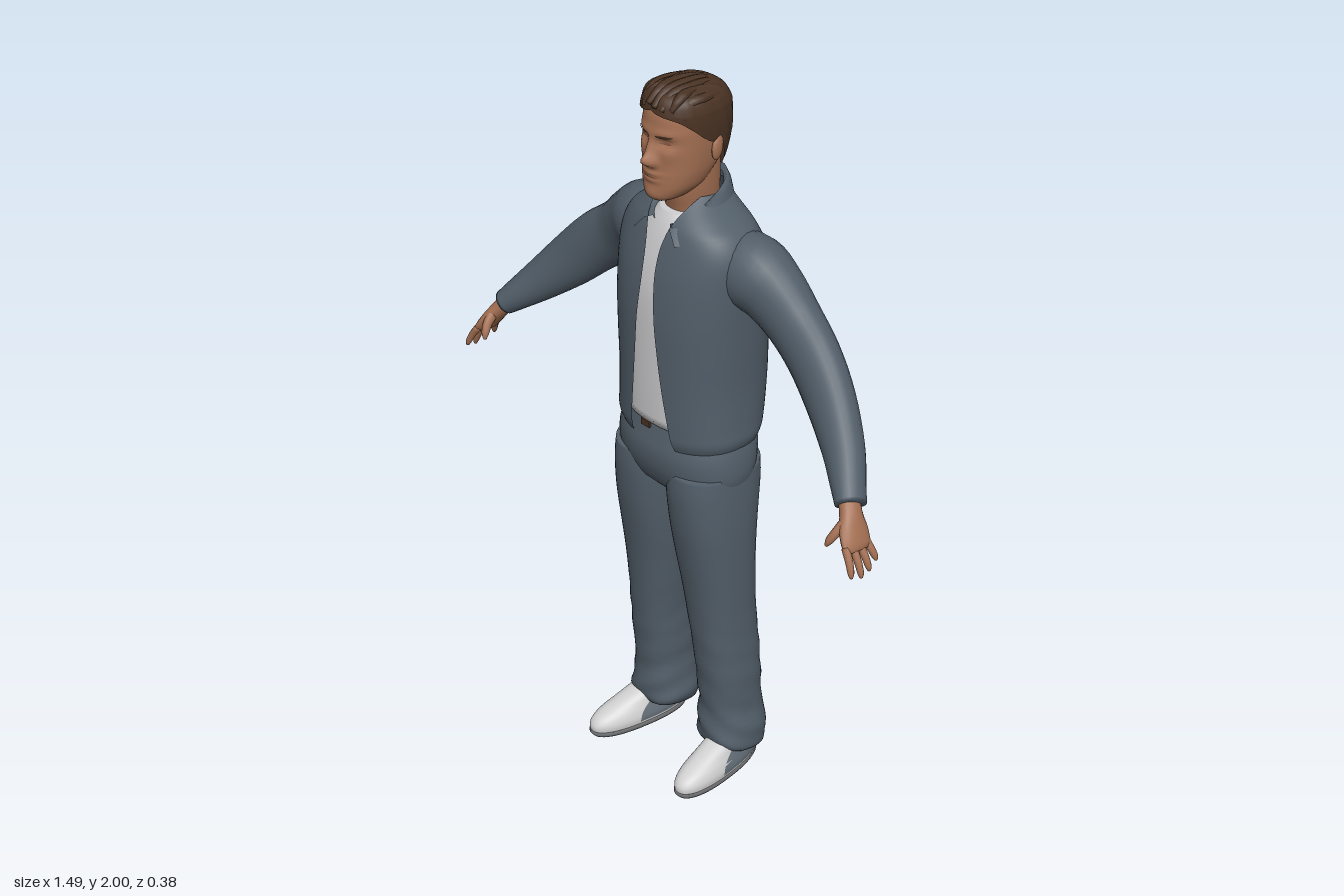
import * as THREE from 'three';

const mat = (name, color, side = THREE.FrontSide) => {
  const m = new THREE.MeshStandardMaterial({ color, side });
  m.name = name;
  return m;
};

// Skin a list of point rows; optional end caps
function grid(rows, closed, caps) {
  const n = rows[0].length, pos = [], idx = [];
  rows.forEach(r => r.forEach(p => pos.push(p.x, p.y, p.z)));
  for (let i = 0; i < rows.length - 1; i++) {
    for (let j = 0; j < (closed ? n : n - 1); j++) {
      const k = (j + 1) % n, a = i * n + j, b = i * n + k;
      idx.push(a, b, b + n, a, b + n, a + n);
    }
  }
  if (caps) {
    [0, rows.length - 1].forEach(i => {
      const c = new THREE.Vector3();
      rows[i].forEach(p => c.addScaledVector(p, 1 / n));
      const ci = pos.length / 3;
      pos.push(c.x, c.y, c.z);
      for (let j = 0; j < n; j++) {
        const a = i * n + j, b = i * n + (j + 1) % n;
        if (i) idx.push(ci, a, b); else idx.push(ci, b, a);
      }
    });
  }
  const g = new THREE.BufferGeometry();
  g.setAttribute('position', new THREE.Float32BufferAttribute(pos, 3));
  g.setIndex(idx);
  g.computeVertexNormals();
  return g;
}

// Smoothly fill in between cross-section rows of numbers
function refine(secs, steps) {
  const at = i => secs[Math.max(0, Math.min(secs.length - 1, i))], out = [];
  for (let i = 0; i < secs.length - 1; i++) {
    for (let k = 0; k < steps; k++) {
      const t = k / steps;
      out.push(secs[i].map((b, c) => {
        const a = at(i - 1)[c], d = at(i + 1)[c], e = at(i + 2)[c];
        return b + 0.5 * t * (d - a + t * (2 * a - 5 * b + 4 * d - e + t * (3 * (b - d) + e - a)));
      }));
    }
  }
  out.push(at(secs.length));
  return out;
}

// Upright form from rows [y, halfWidth, zFront, zBack, xCentre, ...extra], bottom to top
function loft(secs, { n = 40, steps = 4, pow = 2.3, gap = null, caps = true, rule = null } = {}) {
  const f = v => Math.sign(v) * Math.abs(v) ** (2 / pow);
  const rows = refine(secs, steps).map(s => {
    const [y, hw, zf, zb, cx = 0] = s;
    const [t0, t1] = gap ? gap(s, pow) : [0, Math.PI * 2];
    return Array.from({ length: n }, (_, j) => {
      const t = t0 + (t1 - t0) * j / (gap ? n - 1 : n);
      const p = new THREE.Vector3(cx + hw * f(Math.sin(t)), y, (zf + zb) / 2 + (zf - zb) / 2 * f(Math.cos(t)));
      if (rule) rule(p, t);
      return p;
    });
  });
  return grid(rows, !gap, caps && !gap);
}

// Bent limb from rows [x, y, z, thickness, width], width measured along ref
function limb(secs, n = 12, steps = 4, ref = new THREE.Vector3(0, 0, 1)) {
  const r = refine(secs, steps), v = s => new THREE.Vector3(s[0], s[1], s[2]);
  const rows = r.map((s, i) => {
    const T = v(r[Math.min(i + 1, r.length - 1)]).sub(v(r[Math.max(i - 1, 0)])).normalize();
    const U = ref.clone().addScaledVector(T, -ref.dot(T)).normalize();
    const V = T.clone().cross(U);
    return Array.from({ length: n }, (_, j) => {
      const t = j / n * Math.PI * 2;
      return v(s).addScaledVector(U, Math.cos(t) * s[4]).addScaledVector(V, Math.sin(t) * s[3]);
    });
  });
  return grid(rows, true, true);
}

function mirrored(geo) {
  const g = geo.clone().scale(-1, 1, 1), ix = g.index.array;
  for (let i = 0; i < ix.length; i += 3) [ix[i + 1], ix[i + 2]] = [ix[i + 2], ix[i + 1]];
  g.computeVertexNormals();
  return g;
}

export function createModel() {
  const root = new THREE.Group();
  root.name = 'man';
  const cloth = mat('slateCloth', 0x525e69, THREE.DoubleSide), shirtMat = mat('shirtWhite', 0xcfcfd1);
  const skin = mat('skin', 0xa36f52), lipMat = mat('darkSkin', 0x80503c), hairMat = mat('brownHair', 0x4a3324, THREE.DoubleSide);
  const shoeMat = mat('shoeWhite', 0xd2d2d2), panelMat = mat('shoePanel', 0x66707a), soleMat = mat('soleGrey', 0x77787a);
  const add = (name, geo, m) => {
    const o = new THREE.Mesh(geo, m);
    o.name = name;
    root.add(o);
    return o;
  };
  const pair = (name, geo, m) => {
    add(name + 'Left', geo, m);
    add(name + 'Right', mirrored(geo), m);
  };
  const bell = (d, s) => Math.exp(-d * d / (2 * s * s));

  // Trousers: hips and two legs with a slanted, rumpled hem
  add('hips', loft([[.86, .10, .03, -.05], [.885, .175, .1, -.1], [.94, .2, .13, -.13], [1.0, .199, .138, -.146],
    [1.05, .188, .128, -.145], [1.09, .18, .118, -.14]]), cloth);
  pair('trouserLeg', loft([[.065, .076, .04, -.128, .134], [.085, .084, .05, -.132, .134], [.125, .086, .05, -.134, .133],
    [.2, .075, .046, -.125, .13], [.3, .077, .055, -.12, .128], [.4, .077, .066, -.115, .124], [.5, .082, .076, -.108, .117],
    [.6, .089, .088, -.105, .112], [.7, .096, .104, -.107, .107], [.8, .0995, .12, -.115, .104],
    [.9, .1, .129, -.128, .1], [.96, .096, .125, -.128, .1]], {
    rule: (p, t) => {
      const low = Math.max(0, 1 - p.y / .55);
      p.x += .004 * low * Math.sin(p.y * 75 + t * 2);
      p.z += .004 * low * Math.sin(p.y * 60 + t * 3);
      if (p.y < .2) p.y += .22 * (p.z + .04) * (1 - p.y / .2);
    },
  }), cloth);
  const buckle = add('beltBuckle', new THREE.BoxGeometry(.03, .018, .008), hairMat);
  buckle.position.set(-.015, 1.073, .127);

  // Shirt under the jacket
  add('shirt', loft([[1.08, .172, .127, -.135], [1.2, .172, .13, -.16], [1.4, .175, .13, -.165], [1.5, .175, .12, -.16],
    [1.58, .15, .1, -.14], [1.63, .1, .082, -.12], [1.66, .062, .066, -.1]]), shirtMat);

  // Open jacket; last two columns are the front edges on its left and right
  add('jacket', loft([[1.02, .183, .128, -.148, 0, .092, .062], [1.055, .198, .141, -.16, 0, .085, .055], [1.1, .197, .144, -.172, 0, .077, .053],
    [1.2, .194, .146, -.185, 0, .06, .042], [1.3, .197, .147, -.185, 0, .047, .032], [1.4, .2, .146, -.183, 0, .036, .024],
    [1.5, .203, .135, -.175, 0, .027, .017], [1.57, .2, .118, -.158, 0, .026, .022], [1.62, .175, .102, -.138, 0, .035, .033],
    [1.65, .135, .088, -.125, 0, .045, .045], [1.68, .09, .065, -.113, 0, .055, .055], [1.7, .07, .04, -.105, 0, .06, .06]], {
    n: 64, gap: ([, hw, , , , l, r], p) => [Math.asin((l / hw) ** (p / 2)), Math.PI * 2 - Math.asin((r / hw) ** (p / 2))],
  }), cloth);

  // Turned-down collar, low and pointed at the front
  const collarRow = (hw, zf, zb, back, front, edge) => Array.from({ length: 41 }, (_, j) => {
    const t = edge + (Math.PI * 2 - 2 * edge) * j / 40, f = (1 + Math.cos(t)) / 2;
    return new THREE.Vector3(hw * Math.sin(t), back + (front - back) * f ** 1.4, (zf + zb) / 2 + (zf - zb) / 2 * Math.cos(t));
  });
  add('collar', grid([collarRow(.108, .145, -.124, 1.672, 1.585, .75), collarRow(.09, .118, -.118, 1.712, 1.625, .55),
    collarRow(.078, .094, -.108, 1.735, 1.635, .42), collarRow(.07, .078, -.098, 1.72, 1.61, .4)], false), cloth);

  // Sleeves
  pair('sleeve', limb([[.1, 1.535, -.035, .085, .08], [.19, 1.525, -.045, .1, .09], [.25, 1.492, -.055, .091, .078], [.32, 1.435, -.06, .082, .066],
    [.4, 1.375, -.05, .08, .06], [.48, 1.298, -.03, .073, .056], [.56, 1.22, .005, .058, .051], [.62, 1.162, .045, .043, .044],
    [.653, 1.13, .068, .034, .04]], 24), cloth);

  // Hands: palm, four fingers and thumb
  pair('palm', limb([[.63, 1.15, .055, .024, .028], [.66, 1.115, .074, .023, .03], [.682, 1.083, .086, .02, .041],
    [.702, 1.053, .095, .016, .043], [.71, 1.04, .097, .009, .036]], 16), skin);
  for (let i = 0; i < 4; i++) {
    const o = (i - 1.5) * .021, len = [.8, 1, 1.08, .95][i], z = .096 + o;
    pair('finger' + (i + 1), limb([[.699, 1.056, z, .01, .011], [.699 + .021 * len, 1.056 - .031 * len, z + o * .2, .0095, .0095],
      [.699 + .033 * len, 1.056 - .056 * len, z + o * .35, .008, .008], [.699 + .036 * len, 1.056 - .068 * len, z + o * .4, .004, .004]], 10, 3), skin);
  }
  pair('thumb', limb([[.668, 1.105, .095, .014, .016], [.663, 1.082, .122, .012, .013], [.655, 1.06, .138, .01, .01],
    [.65, 1.045, .144, .004, .004]], 10), skin);

  // Neck and head, the face shaped by soft bumps
  add('neck', loft([[1.6, .06, .045, -.085], [1.66, .057, .052, -.085], [1.72, .062, .066, -.085], [1.8, .064, .07, -.085]]), skin);
  const bumps = [[0, 1.815, .012, .012, .026], [0, 1.842, .009, .02, .015], [.015, 1.808, .007, .007, .008], [.036, 1.862, .015, .009, -.011],
    [.03, 1.884, .024, .007, .005], [0, 1.78, .02, .005, .007], [0, 1.763, .018, .005, .006], [0, 1.727, .018, .012, .005], [.05, 1.835, .015, .014, .004]];
  const headGeo = loft([[1.703, .026, .105, .03], [1.715, .046, .118, .0], [1.74, .066, .12, -.035], [1.77, .077, .119, -.06], [1.8, .083, .117, -.08],
    [1.85, .088, .114, -.093], [1.9, .089, .112, -.097], [1.94, .082, .1, -.092], [1.975, .045, .06, -.06]], {
    n: 128, steps: 7, pow: 2.25, rule: p => {
      if (p.z < .04) return;
      for (const [x, y, sx, sy, h] of bumps) p.z += h * bell(Math.abs(p.x) - x, sx) * bell(p.y - y, sy);
    },
  });
  add('head', headGeo, skin);
  const faceZ = (x, y) => {
    const a = headGeo.attributes.position;
    let best = 1, z = .1;
    for (let i = 0; i < a.count; i++) {
      const d = Math.hypot(a.getX(i) - x, a.getY(i) - y);
      if (a.getZ(i) > .03 && d < best) { best = d; z = a.getZ(i); }
    }
    return z;
  };
  // Thin strips lying on the face
  const strip = (x0, x1, y0, y1, h) => grid([-h, h].map(o => Array.from({ length: 9 }, (_, j) => {
    const t = j / 8, x = x0 + (x1 - x0) * t, y = y0 + (y1 - y0) * t + o * Math.sin(Math.PI * (.1 + .8 * t));
    return new THREE.Vector3(x, y, faceZ(x, y) + .002);
  })), false);
  pair('eyebrow', strip(.016, .058, 1.88, 1.882, .0035), hairMat);
  pair('eye', strip(.022, .05, 1.861, 1.861, .003), lipMat);
  add('mouth', strip(-.024, .024, 1.771, 1.771, .002), lipMat);
  pair('ear', new THREE.SphereGeometry(1, 14, 10).scale(.01, .032, .02).rotateX(-.2).rotateY(.25).translate(.09, 1.835, -.015), skin);

  // Hair: a shell with a hairline, plus rough locks on top
  add('hair', loft([[1.755, .06, .05, -.086, 0, 2.4], [1.79, .078, .09, -.098, 0, 2.1], [1.83, .088, .1, -.106, 0, 1.85],
    [1.865, .093, .113, -.111, 0, 1.45], [1.9, .095, .117, -.112, 0, 1.1], [1.925, .094, .118, -.11, 0, .72], [1.94, .092, .116, -.107, 0, .02],
    [1.965, .081, .108, -.092, 0, .01], [1.982, .055, .085, -.06, 0, .005], [1.988, .008, .02, -.01, 0, .003]], {
    n: 64, gap: s => [s[5], Math.PI * 2 - s[5]],
    rule: (p, t) => { if (p.y > 1.85) p.x *= 1 + .02 * Math.sin(t * 17 + p.y * 40); },
  }), hairMat);
  const side = new THREE.Vector3(1, 0, 0);
  for (let i = 0; i < 8; i++) {
    const x = (i - 3.5) * .019, drop = x * x * 4.5, w = .006 * Math.sin(i * 2.4);
    add('hairLock' + (i + 1), limb([[x * 1.1, 1.935 - drop, -.095 + drop * 2, .006, .007], [x + w, 1.974 - drop, -.05, .012, .013],
      [x - w, 1.986 - drop, .02, .012, .014], [x + w, 1.98 - drop + w, .08 - drop, .013, .013],
      [x * 1.05, 1.952 + w - drop, .117 - drop * 2, .006, .008]], 8, 4, side), hairMat);
  }

  // Shoes: pale toe, darker rear panel, grey sole
  const place = g => g.rotateY(.13).translate(.154, 0, 0);
  const upper = loft([[.016, .052, .195, -.112], [.035, .054, .194, -.115], [.055, .05, .175, -.113], [.075, .044, .13, -.11],
    [.095, .04, .075, -.105], [.11, .034, .03, -.1]], { n: 48 });
  const toe = [], rear = [], ix = upper.index.array, sp = upper.attributes.position;
  for (let i = 0; i < ix.length; i += 3) {
    const f = [ix[i], ix[i + 1], ix[i + 2]];
    const z = f.reduce((a, k) => a + sp.getZ(k) / 3, 0), y = f.reduce((a, k) => a + sp.getY(k) / 3, 0);
    (z > .075 - (y - .02) * .8 || y < .024 ? toe : rear).push(...f);
  }
  upper.setIndex([...toe, ...rear]);
  upper.addGroup(0, toe.length, 0);
  upper.addGroup(toe.length, rear.length, 1);
  pair('shoe', place(upper), [shoeMat, panelMat]);
  pair('shoeSole', place(loft([[0, .05, .19, -.112], [.009, .054, .197, -.116], [.018, .053, .196, -.114]], { n: 48, steps: 2 })), soleMat);
  return root;
}
